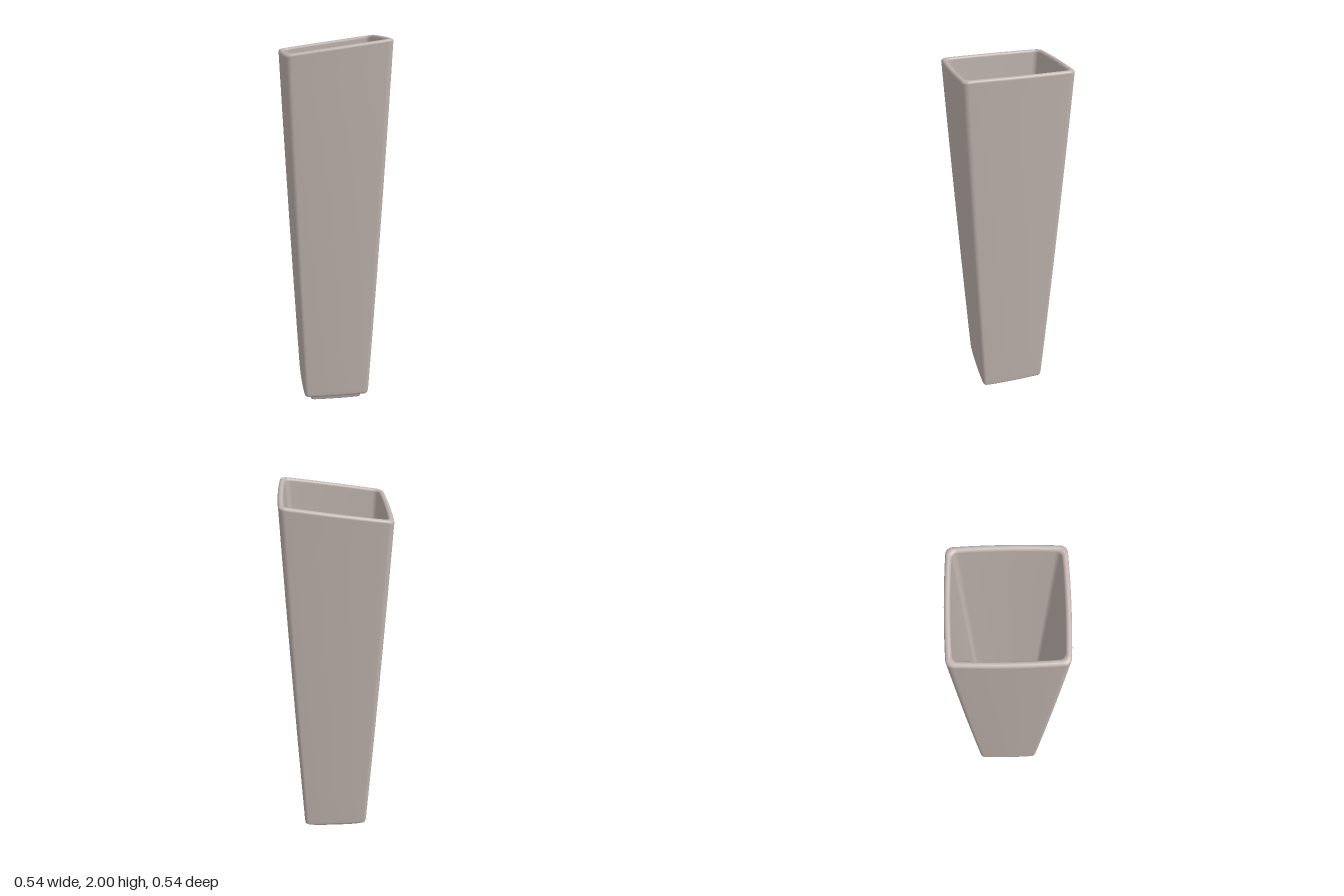
import * as THREE from 'three';

const RIM = 1.964;   // rim height at the centre line
const SLOPE = 0.14;  // sideways slant of the rim

// Unit rounded square with slightly bowed sides, running from +x towards +z
function unitSection(radius = 0.11, bow = 0.028, sideSteps = 10, cornerSteps = 7) {
  const points = [];
  const flat = 1 - radius;
  for (let side = 0; side < 4; side++) {
    const c = Math.round(Math.cos(side * Math.PI / 2));
    const s = Math.round(Math.sin(side * Math.PI / 2));
    const add = (x, z) => {
      const bx = x * (1 - bow * z * z);
      const bz = z * (1 - bow * x * x);
      points.push([bx * c - bz * s, bx * s + bz * c]);
    };
    for (let i = 0; i < sideSteps; i++) add(1, -flat + 2 * flat * i / sideSteps);
    for (let i = 0; i < cornerSteps; i++) {
      const a = Math.PI / 2 * i / cornerSteps;
      add(flat + radius * Math.cos(a), flat + radius * Math.sin(a));
    }
  }
  return points;
}

// Joins square rings, given as [half width, height], into one smooth skin
function loft(profile) {
  const section = unitSection();
  const n = section.length;
  const positions = [];
  const indices = [];
  for (const [w, y] of profile) {
    const slant = SLOPE * Math.max(0, (y - 0.1) / (RIM - 0.1));
    for (const [x, z] of section) positions.push(x * w, y + slant * x * w, z * w);
  }
  for (let i = 0; i < profile.length - 1; i++) {
    for (let j = 0; j < n; j++) {
      const a = i * n + j, b = i * n + (j + 1) % n;
      indices.push(a, a + n, b, b, a + n, b + n);
    }
  }
  const geometry = new THREE.BufferGeometry();
  geometry.setAttribute('position', new THREE.Float32BufferAttribute(positions, 3));
  geometry.setIndex(indices);
  geometry.computeVertexNormals();
  return geometry;
}

// Half width of the outer wall, flaring a little less towards the top
function outerWidth(y) {
  const t = y / RIM;
  return 0.183 + 0.088 * t * (1.15 - 0.15 * t);
}

// Quarter or half round between profile points
function arc(cx, cy, rx, ry, from, to, steps = 6) {
  return Array.from({ length: steps + 1 }, (_, i) => {
    const a = from + (to - from) * i / steps;
    return [cx + rx * Math.cos(a), cy + ry * Math.sin(a)];
  });
}

export function createModel() {
  const group = new THREE.Group();
  group.name = 'vase';
  const ceramic = new THREE.MeshStandardMaterial({ color: 0xbfb3ae });
  ceramic.name = 'warm grey ceramic';
  const addPart = (name, profile) => {
    const mesh = new THREE.Mesh(loft(profile), ceramic);
    mesh.name = name;
    group.add(mesh);
  };

  const wall = 0.028;
  const heights = Array.from({ length: 13 }, (_, i) => 0.08 + (RIM - 0.014 - 0.08) * i / 12);

  // Hollow body: underside, outer wall, rounded rim, inner wall and floor
  addPart('body', [
    [0.14, 0.033], [0.165, 0.033],
    ...arc(0.165, 0.053, 0.02, 0.02, -Math.PI / 2, 0),
    ...heights.map((y) => [outerWidth(y), y]),
    ...arc(outerWidth(RIM) - wall / 2, RIM - 0.014, wall / 2, 0.014, 0, Math.PI, 10),
    ...heights.slice(1, -1).reverse().map((y) => [outerWidth(y) - wall, y]),
    [0.161, 0.095], [0.159, 0.085], [0.154, 0.078], [0.146, 0.075], [0.138, 0.075], [0, 0.075],
  ]);

  // Foot ring with a shallow recess underneath
  addPart('foot', [
    [0, 0.022], [0.11, 0.022], [0.115, 0.02], [0.118, 0.016],
    [0.12, 0.005], [0.125, 0], [0.141, 0], [0.146, 0.004],
    [0.149, 0.025], [0.151, 0.034],
  ]);
  return group;
}
